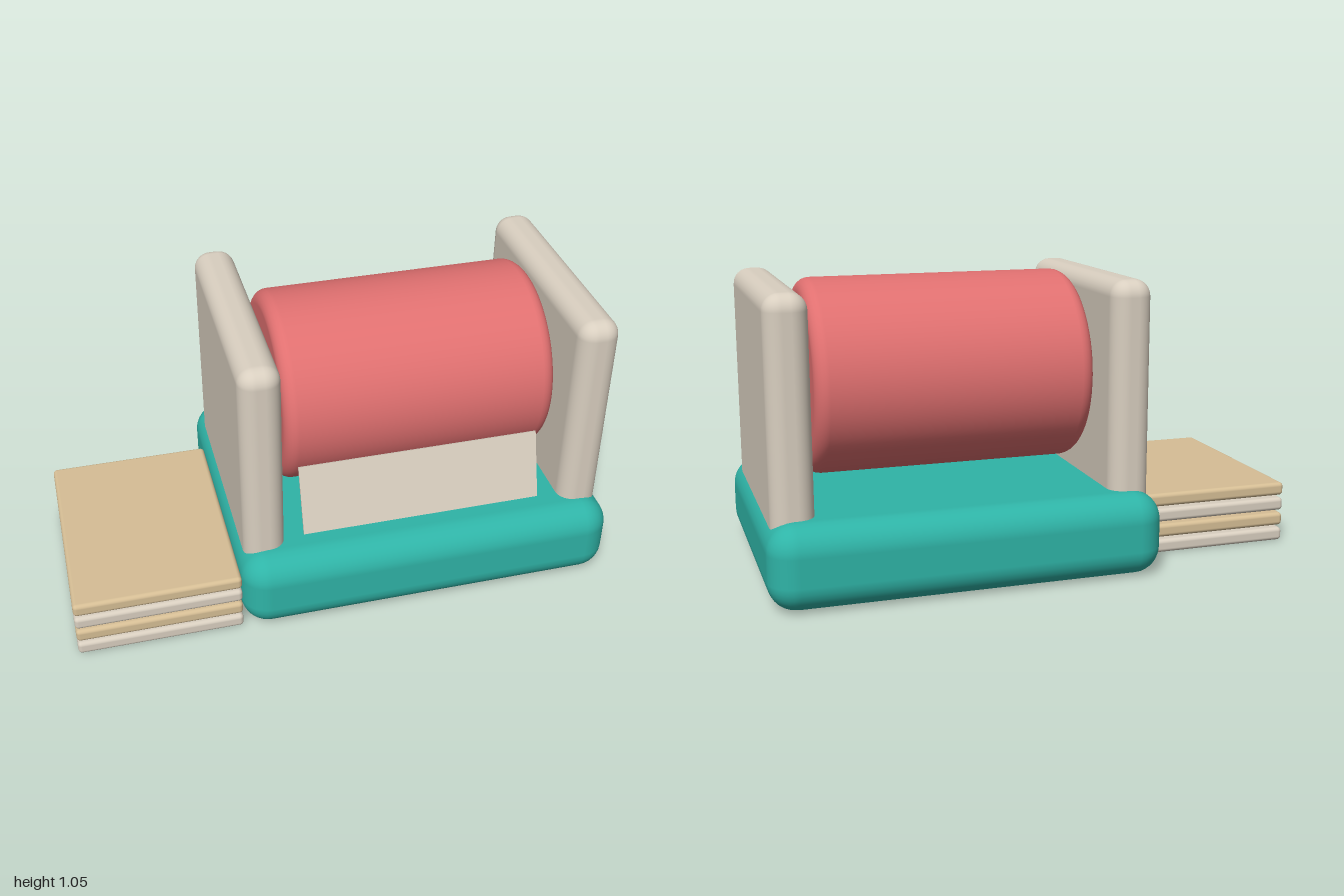
import * as THREE from 'three';
import { RoundedBoxGeometry } from 'three/addons/geometries/RoundedBoxGeometry.js';

const material = (name, color) => {
  const m = new THREE.MeshStandardMaterial({ color });
  m.name = name;
  return m;
};

export function createModel() {
  const group = new THREE.Group();
  const teal = material('teal', 0x2fb4a7);
  const cream = material('cream', 0xd9cfc0);
  const tan = material('tan', 0xd6be95);
  const red = material('coral red', 0xe07070);

  const add = (name, geometry, mat, x, y, z) => {
    const mesh = new THREE.Mesh(geometry, mat);
    mesh.name = name;
    mesh.position.set(x, y, z);
    group.add(mesh);
    return mesh;
  };

  const cx = 0.3; // centre of the machine; the stack sits beside it

  // Cushioned base
  add('base', new RoundedBoxGeometry(1.4, 0.3, 1.1, 4, 0.1), teal, cx, 0.15, 0);

  // Upright side walls, sunk into the base
  for (const side of [-1, 1]) {
    add(side < 0 ? 'rightWall' : 'leftWall',
      new RoundedBoxGeometry(0.15, 0.9, 0.9, 4, 0.06), cream, cx + side * 0.6, 0.6, 0);
  }

  // Drum with rounded rims, turned about the x axis
  const half = 0.5, radius = 0.35, rim = 0.05, steps = 6;
  const profile = [new THREE.Vector2(0, -half)];
  for (const end of [-1, 1]) {
    for (let i = 0; i <= steps; i++) {
      const a = (end < 0 ? i - steps : i) / steps * Math.PI / 2;
      profile.push(new THREE.Vector2(
        radius - rim + rim * Math.cos(a),
        end * (half - rim) + rim * Math.sin(a)));
    }
  }
  profile.push(new THREE.Vector2(0, half));
  const drum = add('drum', new THREE.LatheGeometry(profile, 64), red, cx, 0.7, 0);
  drum.rotation.z = -Math.PI / 2;

  // Slanted guide plate in front of the drum
  const plate = add('guidePlate', new THREE.BoxGeometry(0.9, 0.3, 0.008), cream, cx, 0.402, 0.362);
  plate.rotation.x = -0.31;

  // Stack of sheets in alternating colours
  for (let i = 0; i < 4; i++) {
    add('sheet' + (i + 1), new RoundedBoxGeometry(0.6, 0.05, 0.8, 3, 0.015),
      i % 2 ? tan : cream, -0.7, 0.025 + i * 0.06, 0.1);
  }

  return group;
}
